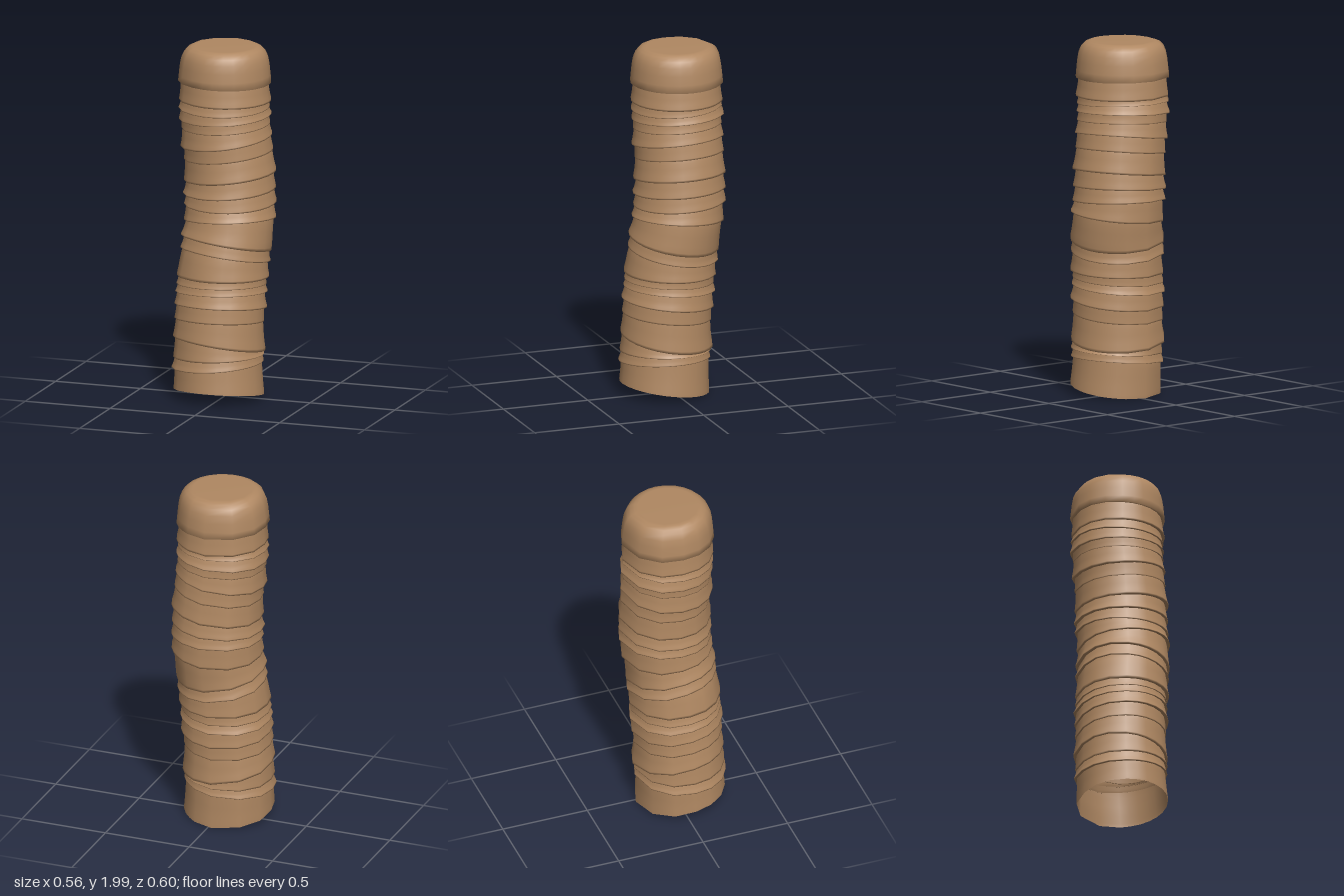
import * as THREE from 'three';

const bark = new THREE.MeshStandardMaterial({ color: 0xb08862, side: THREE.DoubleSide });
bark.name = 'brown bark';

// Corner angles of the cross-section: coarse at the back left, finer elsewhere
const ANGLES = [0, 13, 26, 39, 51, 64, 90, 124, 153, 180, 202, 223, 245, 260, 273, 287, 301, 315, 329, 345];
const CORNER = [1, 1, 1, 1, 1, 1.02, 1.06, 1.06, 1.05, 1.01, 1.02, 1.02, 1, 1, 1, 1, 1, 1, 1, 1];
const N = ANGLES.length;

// Centre line of the bent stem
const spine = [
  [0, -0.018, 0.048], [0.2, -0.025, 0.038], [0.4, -0.022, 0.03], [0.6, -0.016, 0.02],
  [0.8, 0, 0.008], [0.9, 0.014, -0.005], [1, 0.021, -0.02], [1.2, 0.02, -0.035],
  [1.4, 0.01, -0.032], [1.6, -0.01, -0.028], [2, -0.01, -0.025],
];
function centre(y) {
  let i = 0;
  while (i < spine.length - 2 && y > spine[i + 1][0]) i++;
  const [a, b] = [spine[i], spine[i + 1]];
  const t = THREE.MathUtils.clamp((y - a[0]) / (b[0] - a[0]), 0, 1);
  return [a[1] + (b[1] - a[1]) * t, a[2] + (b[2] - a[2]) * t];
}

// Lower edge of every sleeve: height, tilt along x, tilt along z, lip size
const LIPS = [
  [1.8, -0.02, 0, 0.014], [1.695, -0.01, 0, 0.012], [1.655, 0, -0.05, 0.01],
  [1.6, 0.05, -0.04, 0.014], [1.55, 0.05, -0.04, 0.005], [1.465, 0.13, -0.06, 0.014],
  [1.385, 0.11, -0.04, 0.006], [1.265, 0.11, -0.03, 0.014], [1.18, 0.06, -0.04, 0.014],
  [1.11, 0.01, -0.05, 0.013], [1.02, 0.06, 0.08, 0.013], [0.885, -0.13, 0.15, 0.014],
  [0.82, -0.11, 0.14, 0.013], [0.7, 0, 0.04, 0.013], [0.655, 0.02, 0.06, 0.007],
  [0.61, 0.03, 0.08, 0.013], [0.53, 0, 0.12, 0.014], [0.45, 0, 0.1, 0.006],
  [0.315, -0.12, 0.14, 0.014], [0.25, 0.05, 0.02, 0.009], [0.2, 0.08, -0.01, 0.012],
  [0.043, -0.01, 0.143, 0.008],
];

// Loft rings from top to bottom; each ring gives a radius and height per angle
function loft(rings, closeTop) {
  const pos = [], index = [];
  for (const ring of rings) {
    ANGLES.forEach((deg, i) => {
      const a = THREE.MathUtils.degToRad(deg);
      const dx = Math.cos(a), dz = -Math.sin(a);
      const { r, y } = ring(dx, dz, a);
      const [cx, cz] = centre(y);
      pos.push(cx + dx * r * CORNER[i], y, cz + dz * r * CORNER[i]);
    });
  }
  for (let j = 0; j < rings.length - 1; j++) {
    for (let i = 0; i < N; i++) {
      const k = (i + 1) % N;
      const a = j * N + i, b = j * N + k, c = a + N, d = b + N;
      index.push(a, c, b, b, c, d);
    }
  }
  if (closeTop) {
    const [cx, cz] = centre(2);
    pos.push(cx, 2, cz);
    for (let i = 0; i < N; i++) index.push(rings.length * N, i, (i + 1) % N);
  }
  const g = new THREE.BufferGeometry();
  g.setAttribute('position', new THREE.Float32BufferAttribute(pos, 3));
  g.setIndex(index);
  g.computeVertexNormals();
  return g;
}

const edge = ([y, sx, sz], dx, dz) => y + 0.25 * (sx * dx + sz * dz);

export function createModel() {
  const group = new THREE.Group();
  group.name = 'wrappedStem';
  const add = (name, geometry) => {
    const mesh = new THREE.Mesh(geometry, bark);
    mesh.name = name;
    group.add(mesh);
  };

  // Rounded cap with a flat top
  const cap = [[0.165, 2], [0.185, 1.998], [0.207, 1.988], [0.226, 1.968], [0.24, 1.935], [0.248, 1.89], [0.253, 1.84]]
    .map(([r, y]) => () => ({ r, y }));
  cap.push((dx, dz) => ({ r: 0.257, y: edge(LIPS[0], dx, dz) }));
  cap.push((dx, dz) => ({ r: 0.238, y: edge(LIPS[0], dx, dz) + 0.003 }));
  add('cap', loft(cap, true));

  // Overlapping sleeves, each flaring to a lip at its lower edge
  for (let s = 1; s < LIPS.length; s++) {
    const top = LIPS[s - 1], low = LIPS[s], last = s === LIPS.length - 1;
    const at = (t, flare, lift = 0) => (dx, dz, a) => {
      const y0 = edge(top, dx, dz), y1 = edge(low, dx, dz);
      const lip = low[3] * (1 + 0.3 * Math.sin(a + s * 2.1));
      return { r: 0.241 + lip * flare, y: y0 + (y1 - y0) * t + lift };
    };
    const rings = [at(0, -0.2, 0.006), at(0.15, 0.1), at(0.4, 0.3), at(0.7, 0.65), at(0.9, 1), at(1, 1.05)];
    if (!last) rings.push(at(1, -0.2, 0.003));
    add('sleeve' + s, loft(rings, false));
  }
  return group;
}
